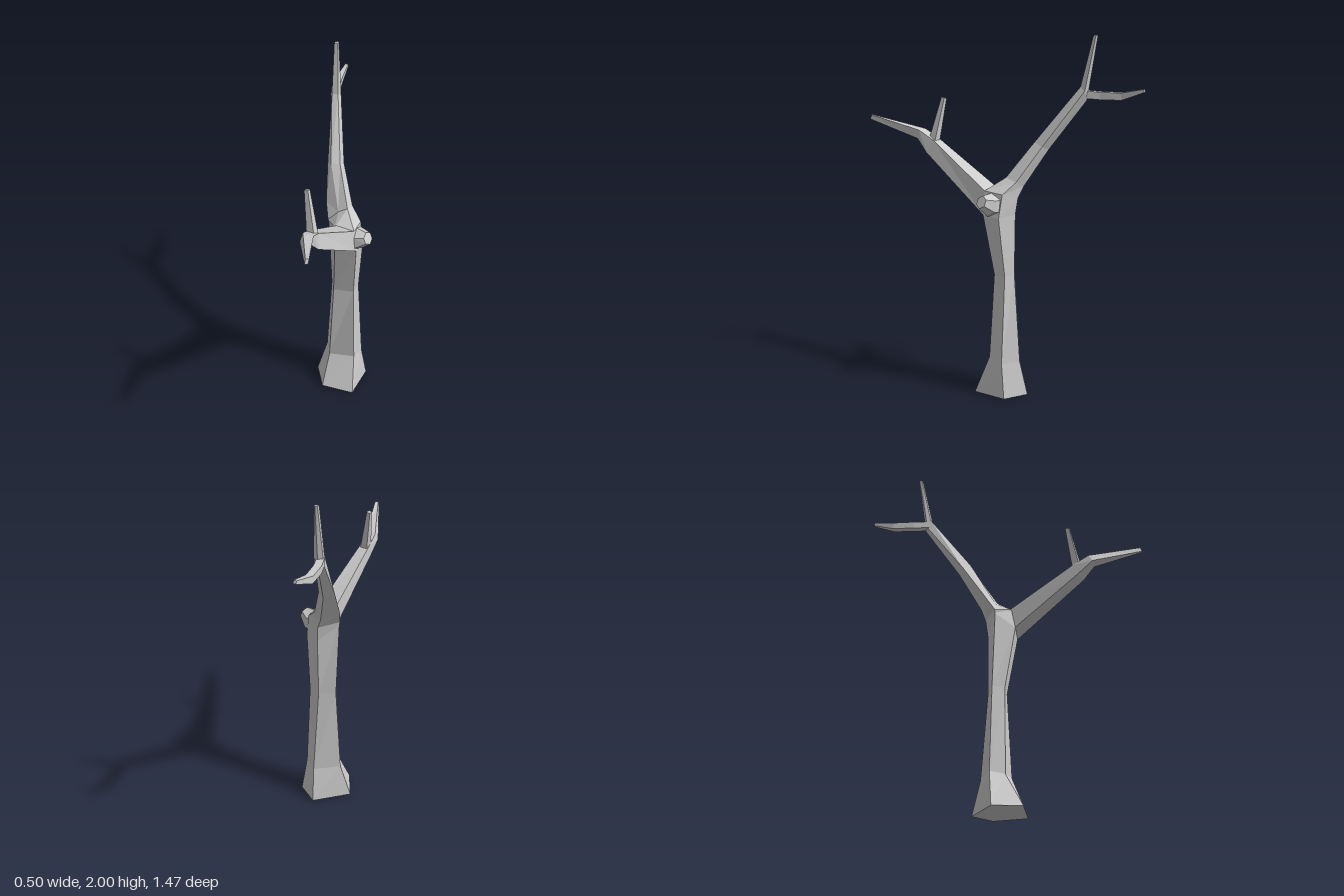
import * as THREE from 'three';

const material = new THREE.MeshStandardMaterial({ color: 0xcccccc, flatShading: true });

// Skin a list of rings (each counter-clockwise seen from the tip) and cap both ends.
function loft(name, rings) {
  const pos = [];
  const tri = (a, b, c) => pos.push(...a, ...b, ...c);
  const n = rings[0].length;
  for (let r = 0; r < rings.length - 1; r++) {
    const lo = rings[r], hi = rings[r + 1];
    for (let i = 0; i < n; i++) {
      const j = (i + 1) % n;
      tri(lo[i], lo[j], hi[j]);
      tri(lo[i], hi[j], hi[i]);
    }
  }
  const first = rings[0], last = rings[rings.length - 1];
  for (let i = 1; i < n - 1; i++) {
    tri(first[0], first[i + 1], first[i]);
    tri(last[0], last[i], last[i + 1]);
  }
  const geo = new THREE.BufferGeometry();
  geo.setAttribute('position', new THREE.Float32BufferAttribute(pos, 3));
  geo.computeVertexNormals();
  const mesh = new THREE.Mesh(geo, material);
  mesh.name = name;
  return mesh;
}

// Rings of a given side count around a path of [x, y, z, radius].
function ringsAlong(path, sides, up) {
  const pts = path.map(p => new THREE.Vector3(p[0], p[1], p[2]));
  return path.map((p, k) => {
    const t = pts[Math.min(k + 1, pts.length - 1)].clone().sub(pts[Math.max(k - 1, 0)]).normalize();
    const u = new THREE.Vector3().crossVectors(up, t).normalize();
    const v = new THREE.Vector3().crossVectors(t, u);
    return Array.from({ length: sides }, (_, i) => {
      const a = (i + 0.5) / sides * Math.PI * 2;
      return pts[k].clone().addScaledVector(u, Math.cos(a) * p[3]).addScaledVector(v, Math.sin(a) * p[3]).toArray();
    });
  });
}

export function createModel() {
  const tree = new THREE.Group();
  tree.name = 'bareTree';
  const Y = new THREE.Vector3(0, 1, 0), Z = new THREE.Vector3(0, 0, 1);

  // Five-sided trunk with a flared foot
  const trunk = [
    [[0, 0.02, 0.09], [0.18, 0, 0.05], [0.18, 0.005, -0.15], [0.05, 0.005, -0.22], [-0.1, 0.01, -0.05]],
    [[0, 0.2, -0.01], [0.15, 0.22, -0.03], [0.16, 0.2, -0.12], [0.07, 0.2, -0.18], [-0.05, 0.21, -0.08]],
    [[0.02, 0.7, -0.02], [0.13, 0.7, -0.05], [0.13, 0.7, -0.12], [0.06, 0.7, -0.135], [-0.02, 0.7, -0.08]],
    [[0.05, 1.06, 0.03], [0.165, 1.04, 0], [0.16, 1.03, -0.1], [0.06, 1.04, -0.14], [-0.03, 1.13, -0.06]],
    [[0.04, 1.17, 0.01], [0.15, 1.17, 0], [0.14, 1.16, -0.11], [0.05, 1.13, -0.15], [-0.035, 1.15, -0.06]],
  ];
  tree.add(loft('trunk', trunk));

  // Main branch rises from the last trunk ring, leaning back
  tree.add(loft('mainBranch', [
    trunk[4],
    [[0.02, 1.21, -0.075], [0.07, 1.24, -0.085], [0.07, 1.22, -0.15], [0.02, 1.19, -0.165], [-0.07, 1.23, -0.11]],
    [[-0.08, 1.43, -0.19], [-0.03, 1.43, -0.2], [-0.03, 1.41, -0.25], [-0.07, 1.39, -0.265], [-0.115, 1.4, -0.22]],
    [[-0.18, 1.72, -0.405], [-0.145, 1.73, -0.41], [-0.14, 1.71, -0.44], [-0.165, 1.66, -0.44], [-0.187, 1.67, -0.42]],
    [[-0.195, 2, -0.465], [-0.175, 2, -0.465], [-0.175, 2, -0.48], [-0.185, 2, -0.487], [-0.195, 2, -0.48]],
  ]));

  // Four-sided branch reaching forward
  tree.add(loft('frontBranch', [
    [[0.05, 1.06, 0.025], [0.165, 1.04, 0], [0.15, 1.17, 0], [0.045, 1.175, 0]],
    [[0.07, 1.34, 0.4], [0.14, 1.33, 0.41], [0.125, 1.4, 0.37], [0.068, 1.4, 0.37]],
    [[0.075, 1.41, 0.485], [0.135, 1.4, 0.475], [0.14, 1.45, 0.46], [0.08, 1.45, 0.46]],
    [[0.23, 1.5, 0.735], [0.245, 1.5, 0.725], [0.245, 1.525, 0.715], [0.23, 1.525, 0.725]],
  ]));

  // Small twigs and the broken stub
  tree.add(loft('frontTwig', ringsAlong([
    [0.1, 1.37, 0.39, 0.032], [0.05, 1.63, 0.35, 0.015]], 4, Z)));
  tree.add(loft('backTwig', ringsAlong([
    [-0.17, 1.69, -0.42, 0.028], [-0.205, 1.685, -0.5, 0.028],
    [-0.236, 1.687, -0.61, 0.027], [-0.245, 1.725, -0.735, 0.012]], 4, Y)));
  tree.add(loft('stub', ringsAlong([
    [0.1, 1.1, -0.05, 0.07], [0.165, 1.1, -0.04, 0.063], [0.22, 1.125, -0.03, 0.036]], 6, Y)));

  return tree;
}
